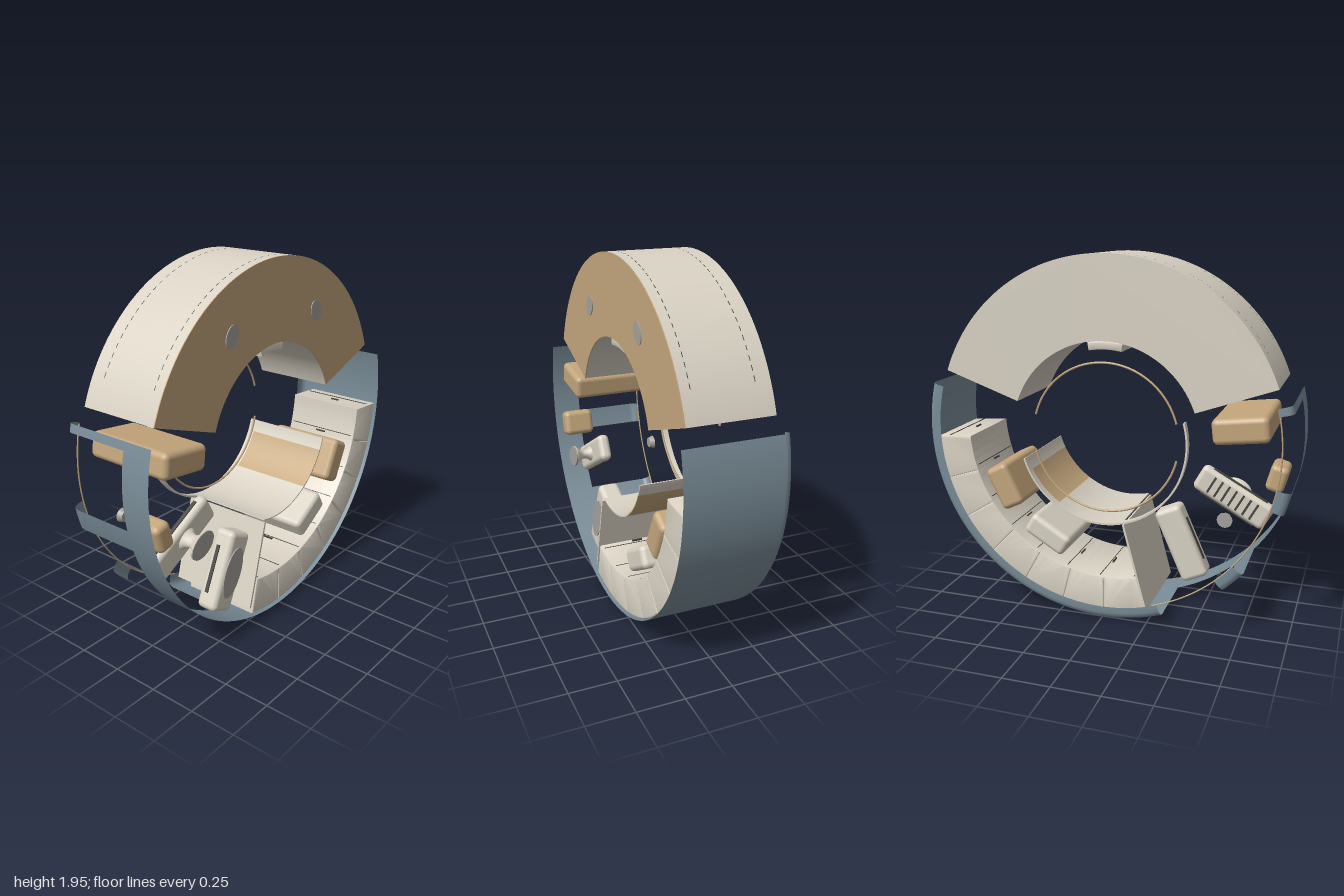
import * as THREE from 'three';
import { toCreasedNormals } from 'three/addons/utils/BufferGeometryUtils.js';
import { RoundedBoxGeometry } from 'three/addons/geometries/RoundedBoxGeometry.js';

const D = Math.PI / 180;
const mat = (name, color) => {
  const m = new THREE.MeshStandardMaterial({ color, side: THREE.DoubleSide });
  m.name = name;
  return m;
};

export function createModel() {
  const cream = mat('cream', 0xd9d2c4), tan = mat('tan', 0xc4a67c), blue = mat('slate blue', 0x7a8d98);
  const grey = mat('grey', 0xa5a29c), dark = mat('dark', 0x45443f);
  const model = new THREE.Group();
  model.name = 'ringHabitat';
  // Everything is built around the ring axis (x), then lifted so the ring stands on the ground.
  const ring = new THREE.Group();
  ring.name = 'ring';
  ring.position.y = 1;
  model.add(ring);

  const add = (name, geo, material, parent = ring) => {
    const m = new THREE.Mesh(geo, material);
    m.name = name;
    parent.add(m);
    return m;
  };
  // Sweep a profile of (radius, x) pairs between two angles; angle 0 is the front, 90 the top.
  const sweep = (name, pts, a0, a1, material) => {
    const n = Math.max(3, Math.ceil((a1 - a0) / 2.5));
    const g = new THREE.LatheGeometry(pts.map(p => new THREE.Vector2(...p)), n, -a1 * D, (a1 - a0) * D);
    return add(name, g.rotateZ(-Math.PI / 2), material);
  };
  // Solid ring sector between radii r0, r1 and planes x0, x1
  const sector = (name, r0, r1, a0, a1, x0, x1, material, bevel = 0) => {
    const s = new THREE.Shape();
    const b = bevel / r1 / D;
    s.absarc(0, 0, r1 - bevel, (a0 + b) * D, (a1 - b) * D, false);
    s.absarc(0, 0, r0 + bevel, (a1 - b) * D, (a0 + b) * D, true);
    const g = new THREE.ExtrudeGeometry(s, {
      depth: x1 - x0 - 2 * bevel, curveSegments: Math.max(6, Math.ceil((a1 - a0) / 2.5)),
      bevelEnabled: bevel > 0, bevelSize: bevel, bevelThickness: bevel, bevelSegments: 2,
    });
    g.rotateY(-Math.PI / 2).translate(x1 - bevel, 0, 0);
    return add(name, toCreasedNormals(g, 0.5), material);
  };
  // Thin tube arc in a plane of constant x
  const hoop = (name, r, tube, a0, a1, x, material) => {
    const g = new THREE.TorusGeometry(r, tube, 6, 60, (a1 - a0) * D);
    g.rotateZ(a0 * D).rotateY(-Math.PI / 2).translate(x, 0, 0);
    return add(name, g, material);
  };
  // Group at (z, y) whose own z axis points along the given angle
  const tilted = (name, z, y, angle) => {
    const g = new THREE.Group();
    g.name = name;
    g.position.set(0, y - 1, z);
    g.rotation.x = -angle * D;
    ring.add(g);
    return g;
  };
  const block = (name, z, y, len, thick, angle, x0, x1, material, r = 0.03) => {
    const g = tilted(name, z, y, angle);
    add(name + 'Body', new RoundedBoxGeometry(x1 - x0, thick, len, 3, r), material, g).position.x = (x0 + x1) / 2;
    return g;
  };
  const box = (name, x, y, z, w, h, d, material, parent) => {
    const m = add(name, new THREE.BoxGeometry(w, h, d), material, parent);
    m.position.set(x, y, z);
    return m;
  };

  // Upper canopy with its tan side panel
  sector('canopy', 0.513, 0.95, 19.5, 160.5, -0.23, 0.22, cream);
  sector('canopySidePanel', 0.513, 0.95, 19.5, 160.5, 0.22, 0.225, tan);
  for (const x of [-0.15, 0.17])
    for (let a = 29; a < 151; a += 3)
      sweep('canopyStitch', [[0.951, x - 0.002], [0.951, x + 0.002]], a, a + 1.6, dark);
  for (const s of [1, -1]) {
    const g = tilted('canopyOval', s * 0.355, 1.62, s > 0 ? 120 : 60);
    const oval = new THREE.CylinderGeometry(0.06, 0.06, 0.006, 28).rotateZ(-Math.PI / 2);
    add('ovalPlate', oval, grey, g).position.x = 0.227;
    g.children[0].scale.y = 0.72;
  }
  sector('ceilingLamp', 0.465, 0.508, 79, 101, -0.2, 0.2, cream, 0.006);

  // Outer shell: wide at the back and bottom, cross ribs and a side strip at the front
  const lip = [[0.93, -0.275], [0.965, -0.275], [0.985, -0.268], [0.996, -0.255], [1, -0.235]];
  const shell = [...lip, [1, 0.275]];
  sweep('outerShell', shell, -194.5, -70.5, blue);
  for (const [a0, a1] of [[12, 14.5], [-18, -11], [-48.5, -40.5]]) sweep('shellRib', shell, a0, a1, blue);
  sweep('shellSideStrip', [[1, 0.11], [1, 0.275]], -70.5, 14.5, blue);
  hoop('windowRail', 0.93, 0.004, -72, 14, -0.27, tan);

  // Padded cabinets lining the shell, with seams and handles
  const c0 = -176, c1 = -76.5, count = 7, step = (c1 - c0) / count;
  for (let i = 0; i < count; i++) {
    const a = c0 + i * step;
    sector('cabinet', 0.79, 0.992, a, a + step, -0.2, 0.26, cream, 0.008);
    const mid = (a + step / 2) * D;
    const g = tilted('cabinetTrim', 0.787 * Math.cos(mid), 1 + 0.787 * Math.sin(mid), a + step / 2 + 90);
    box('cabinetSeam', 0.03, 0, 0.07, 0.42, 0.004, 0.004, dark, g);
    box('cabinetHandle', 0.03, 0.005, 0.085, 0.06, 0.012, 0.008, dark, g);
  }
  const top = tilted('cabinetTop', 0.89 * Math.cos(c0 * D), 1 + 0.89 * Math.sin(c0 * D), c0);
  box('topSeam', 0.03, -0.002, 0.04, 0.42, 0.004, 0.004, dark, top);
  box('topHandle', 0.05, -0.004, -0.02, 0.05, 0.008, 0.01, dark, top);

  // Inner drum: narrow rail, wide sheet with tan window, hand hoops
  sector('innerRail', 0.45, 0.46, -163, 16, -0.27, -0.23, cream);
  for (const [a0, a1, m] of [[-163, -154, cream], [-154, -124, tan], [-124, -75, cream]])
    sector('innerSheet', 0.45, 0.456, a0, a1, -0.23, 0.25, m);
  hoop('upperHandHoop', 0.4, 0.006, 15, 165, -0.21, tan);
  hoop('lowerHandHoop', 0.4, 0.006, -167, -13, -0.21, tan);

  // Partition between the cabinets and the exercise bay
  const wall = tilted('partition', 0.185, 0.315, -75);
  box('partitionPanel', -0.005, 0, 0, 0.53, 0.012, 0.49, cream, wall);

  // Loose cushions and lockers
  const locker = block('frontLocker', 0.717, 1.098, 0.29, 0.135, 7, -0.25, 0.25, tan);
  box('lockerSeam', 0, -0.067, 0.02, 0.4, 0.004, 0.004, dark, locker);
  block('smallLocker', 0.87, 0.77, 0.15, 0.1, 75, 0.07, 0.25, tan);
  block('tanSeat', -0.6, 0.665, 0.25, 0.135, 116, -0.2, 0.25, tan);
  block('creamSeat', -0.345, 0.41, 0.26, 0.125, 149, -0.2, 0.25, cream);

  // Exercise machine with flared pedestal
  const m1 = block('upperMachine', 0.635, 0.637, 0.45, 0.155, -29, 0.09, 0.16, cream);
  const flare = [[0.075, 0.15], [0.045, 0.175], [0.036, 0.2], [0.045, 0.225], [0.085, 0.255], [0.085, 0.262]];
  const ped = new THREE.LatheGeometry(flare.map(p => new THREE.Vector2(...p)), 28).rotateZ(-Math.PI / 2);
  add('pedestal', ped, cream, m1).scale.y = 0.7;
  const cap = add('pedestalPad', new THREE.CylinderGeometry(0.085, 0.085, 0.006, 28).rotateZ(-Math.PI / 2), grey, m1);
  cap.position.x = 0.265;
  cap.scale.y = 0.7;
  for (let i = -3; i <= 3; i++) box('machineSlat', 0.089, 0, i * 0.045, 0.006, 0.1, 0.012, dark, m1);
  for (const s of [1, -1]) box('machineRail', 0.12, s * 0.08, 0, 0.02, 0.006, 0.34, dark, m1);

  // Second machine with a long oval pad
  const m2 = block('lowerMachine', 0.347, 0.33, 0.44, 0.16, -66, 0.09, 0.215, cream);
  const pad = add('ovalPad', new THREE.CylinderGeometry(0.14, 0.14, 0.008, 32).rotateZ(-Math.PI / 2), grey, m2);
  pad.position.x = 0.217;
  pad.scale.y = 0.48;
  for (const s of [1, -1]) box('machineRail', 0.14, s * 0.082, 0, 0.02, 0.008, 0.26, dark, m2);

  // Small knob on the far window side
  const knob = tilted('windowKnob', 0.66, 0.643, 0);
  const disc = new THREE.CylinderGeometry(0.04, 0.03, 0.03, 24).rotateZ(Math.PI / 2);
  add('knobDisc', disc, grey, knob).position.x = -0.26;

  return model;
}
